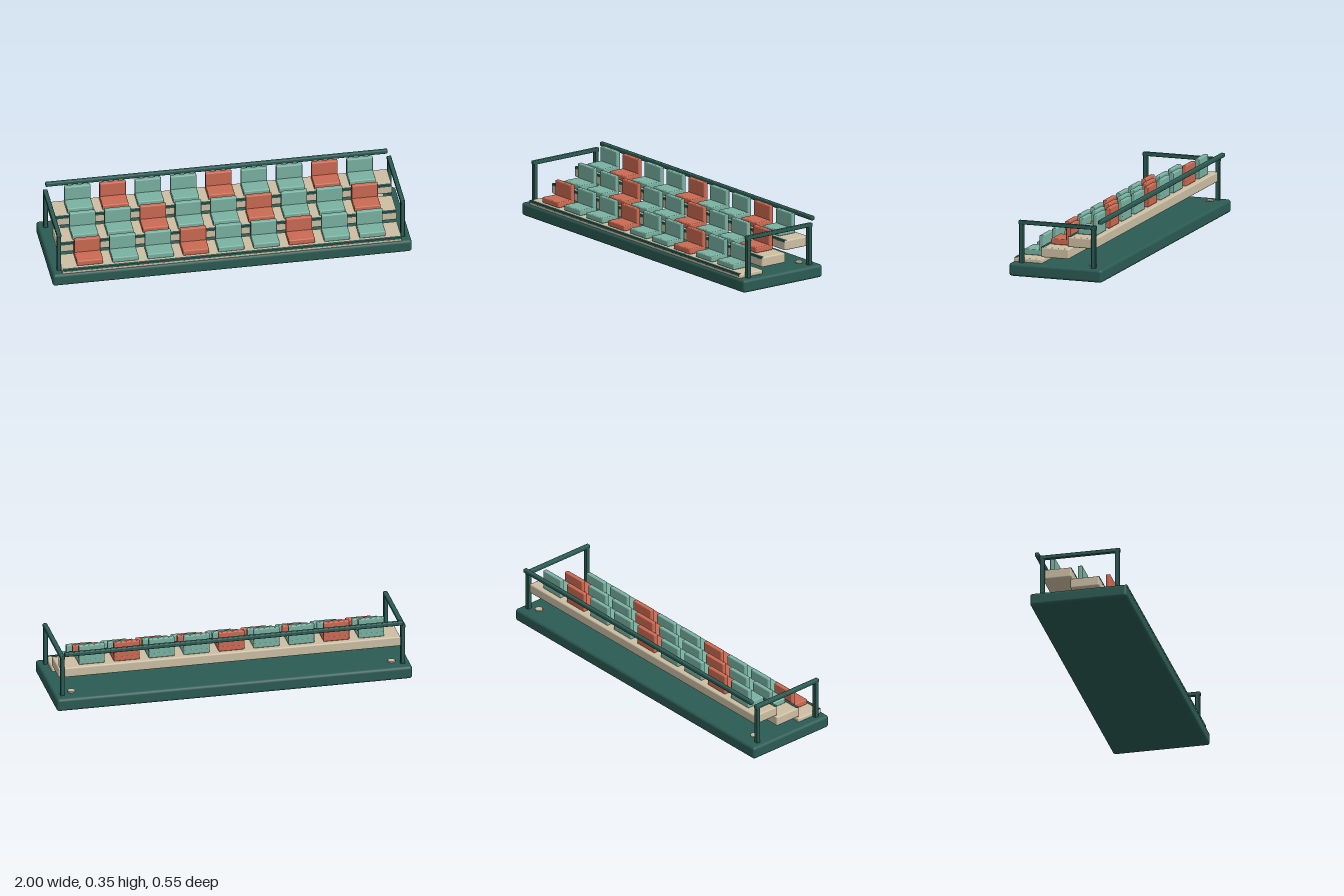
import * as THREE from 'three';
import { RoundedBoxGeometry } from 'three/addons/geometries/RoundedBoxGeometry.js';

const paint = (name, color) => {
  const m = new THREE.MeshStandardMaterial({ color });
  m.name = name;
  return m;
};

export function createModel() {
  const green = paint('dark green', 0x2b5b53);
  const beige = paint('beige', 0xcdbfa4);
  const mint = paint('mint', 0x7ab2a2);
  const coral = paint('coral', 0xcb6a52);
  const model = new THREE.Group();
  model.name = 'grandstand';

  // Rounded box given by its [min, max] range on each axis
  const box = (parent, name, mat, [x0, x1], [y0, y1], [z0, z1], r) => {
    const mesh = new THREE.Mesh(new RoundedBoxGeometry(x1 - x0, y1 - y0, z1 - z0, 2, r), mat);
    mesh.position.set((x0 + x1) / 2, (y0 + y1) / 2, (z0 + z1) / 2);
    mesh.name = name;
    parent.add(mesh);
    return mesh;
  };

  box(model, 'base', green, [-1, 1], [0, 0.073], [-0.273, 0.273], 0.016);

  // Three stepped rows, each with a tread, a nosing strip and nine seats
  for (let row = 0; row < 3; row++) {
    const tier = new THREE.Group();
    tier.name = 'row' + (row + 1);
    tier.position.set(0, 0.069 * row, -0.157 * row);
    model.add(tier);
    box(tier, 'tread', beige, [-0.945, 0.945], [0.038, 0.095], [0.099, 0.262], 0.008);
    box(tier, 'nosing', green, [-0.94, 0.94], [0.083, 0.0965], [0.246, 0.2625], 0.002);
    for (let i = 0; i < 9; i++) {
      const seat = new THREE.Group();
      seat.name = 'seat';
      seat.position.x = (i - 4) * 0.1965;
      tier.add(seat);
      const mat = (i + row) % 3 === 0 ? coral : mint;
      box(seat, 'seatCushion', mat, [-0.073, 0.073], [0.096, 0.128], [0.122, 0.237], 0.006);
      box(seat, 'seatBack', mat, [-0.073, 0.073], [0.12, 0.21], [0.122, 0.148], 0.006);
    }
  }

  // Side railings and floor bolts, mirrored left and right
  for (const s of [-1, 1]) {
    const railing = new THREE.Group();
    railing.name = s > 0 ? 'leftRailing' : 'rightRailing';
    railing.position.x = s * 0.957;
    model.add(railing);
    for (const z of [-0.211, 0.212])
      box(railing, 'post', green, [-0.012, 0.012], [0.06, 0.3], [z - 0.0125, z + 0.0125], 0.004);
    box(railing, 'handrail', green, [-0.0125, 0.0125], [0.288, 0.31], [-0.227, 0.228], 0.005);
    for (const z of [-0.185, 0.185]) {
      const bolt = new THREE.Mesh(new THREE.CylinderGeometry(0.021, 0.021, 0.008, 16), beige);
      bolt.name = 'floorBolt';
      bolt.position.set(s * 0.9, 0.08, z);
      model.add(bolt);
    }
  }

  // Rail behind the top row
  box(model, 'backRail', green, [-0.952, 0.952], [0.317, 0.341], [-0.255, -0.232], 0.006);
  return model;
}
